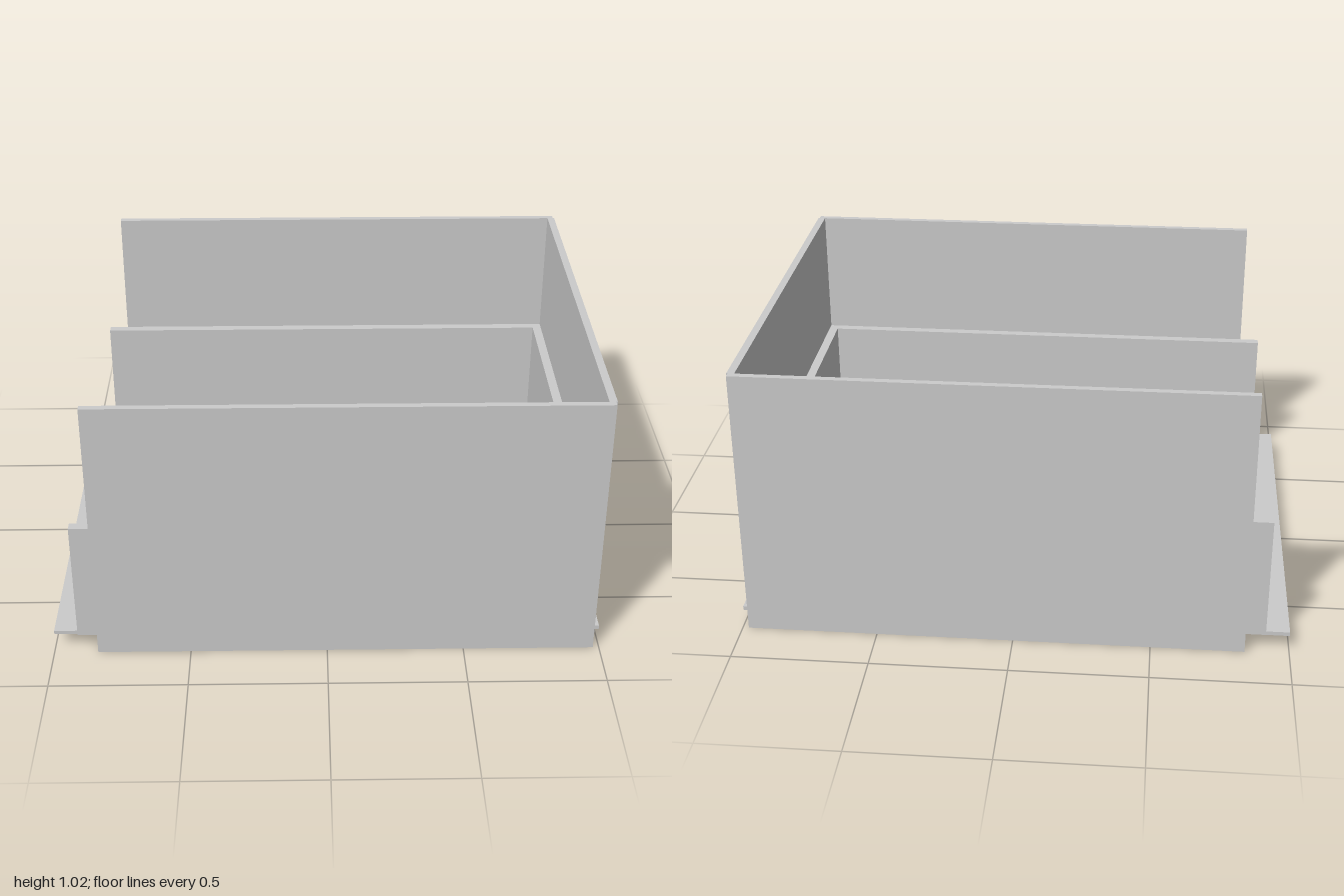
import * as THREE from 'three';

const material = new THREE.MeshStandardMaterial({ color: 0xcccccc, flatShading: true });

// Box given by its lower and upper bounds on each axis
function slab(name, [x0, x1], [y0, y1], [z0, z1]) {
  const mesh = new THREE.Mesh(new THREE.BoxGeometry(x1 - x0, y1 - y0, z1 - z0), material);
  mesh.name = name;
  mesh.position.set((x0 + x1) / 2, (y0 + y1) / 2, (z0 + z1) / 2);
  return mesh;
}

// Three walls around the floor, open towards -x
function wallSet(name, { x0, sideEnd, endInner, endOuter, y, back, front }) {
  const group = new THREE.Group();
  group.name = name;
  group.add(
    slab(name + 'Back', [x0, sideEnd], y, back),
    slab(name + 'Front', [x0, sideEnd], y, front),
    slab(name + 'End', [endInner, endOuter], y, [back[1], front[0]])
  );
  return group;
}

export function createModel() {
  const model = new THREE.Group();
  model.name = 'openTray';

  // Floor sheet, poking out at both ends
  model.add(slab('floor', [-1, 1], [0.06, 0.075], [-0.787, 0.777]));

  // Low lining and tall outer shell
  model.add(wallSet('innerWall', {
    x0: -0.914, sideEnd: 0.955, endInner: 0.92, endOuter: 0.955,
    y: [0.061, 0.527], back: [-0.789, -0.754], front: [0.749, 0.784]
  }));
  model.add(wallSet('outerWall', {
    x0: -0.84, sideEnd: 0.978, endInner: 0.955, endOuter: 0.983,
    y: [0, 1.025], back: [-0.813, -0.789], front: [0.784, 0.808]
  }));

  // Nearly flush panel and tapered flap in the floor
  model.add(slab('floorPanel', [0.1, 0.47], [0.07, 0.0755], [-0.23, 0.2]));
  const outline = new THREE.Shape([
    [0.47, 0.18], [0.47, -0.15], [0.507, -0.13], [0.507, 0.16]
  ].map(([x, y]) => new THREE.Vector2(x, y)));
  const flap = new THREE.Mesh(
    new THREE.ExtrudeGeometry(outline, { depth: 0.0055, bevelEnabled: false }), material);
  flap.name = 'floorPanelFlap';
  flap.rotation.x = -Math.PI / 2;
  flap.position.y = 0.07;
  model.add(flap);

  return model;
}
